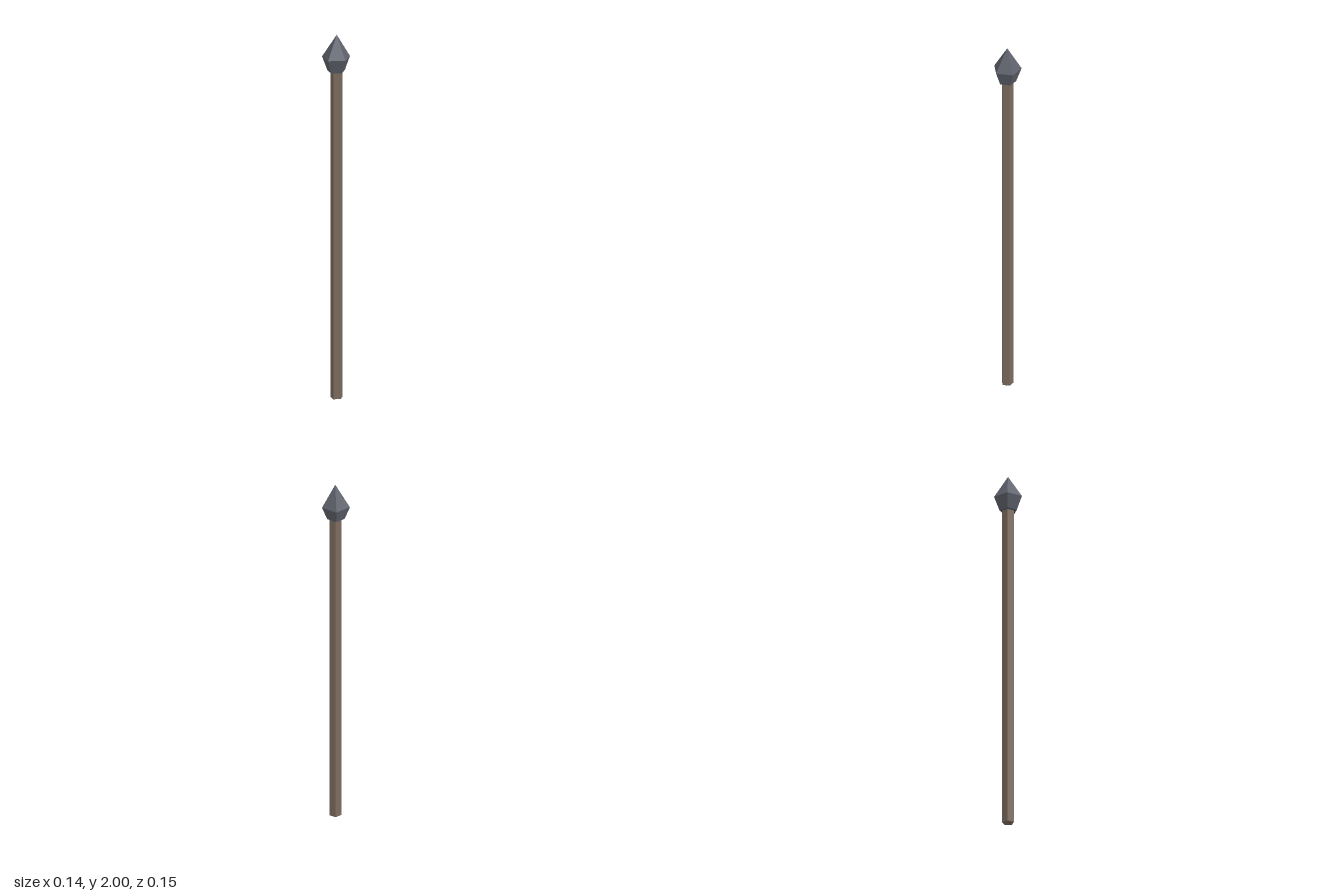
import * as THREE from 'three';

const SIDES = 5;

export function createModel() {
  const wood = new THREE.MeshStandardMaterial({ color: 0x7c6c5f, flatShading: true });
  wood.name = 'wood';
  const stone = new THREE.MeshStandardMaterial({ color: 0x5f626d, flatShading: true });
  stone.name = 'dark stone';

  // Turn a profile of [radius, height] pairs into a five-sided solid with one corner at +x
  const facetedSolid = (name, profile, material, x) => {
    const points = profile.map(([r, y]) => new THREE.Vector2(r, y));
    const mesh = new THREE.Mesh(new THREE.LatheGeometry(points, SIDES, Math.PI / 2), material);
    mesh.name = name;
    mesh.position.x = x;
    return mesh;
  };

  const model = new THREE.Group();
  model.name = 'spear';

  // Long straight pole, closed at the foot and running up to the head
  const shaft = facetedSolid('shaft', [[0, 0], [0.032, 0], [0.032, 1.81], [0, 1.81]], wood, -0.005);

  // Pointed head: flat underside, flared collar, tapering tip
  const head = facetedSolid('spearhead', [[0, 1.8], [0.048, 1.8], [0.077, 1.875], [0, 2]], stone, -0.0073);

  // The tip sits slightly forward of the collar's centre
  const corners = head.geometry.attributes.position;
  for (let i = 0; i < corners.count; i++) {
    if (corners.getY(i) > 1.99) corners.setX(i, 0.003);
  }

  model.add(shaft, head);
  return model;
}
